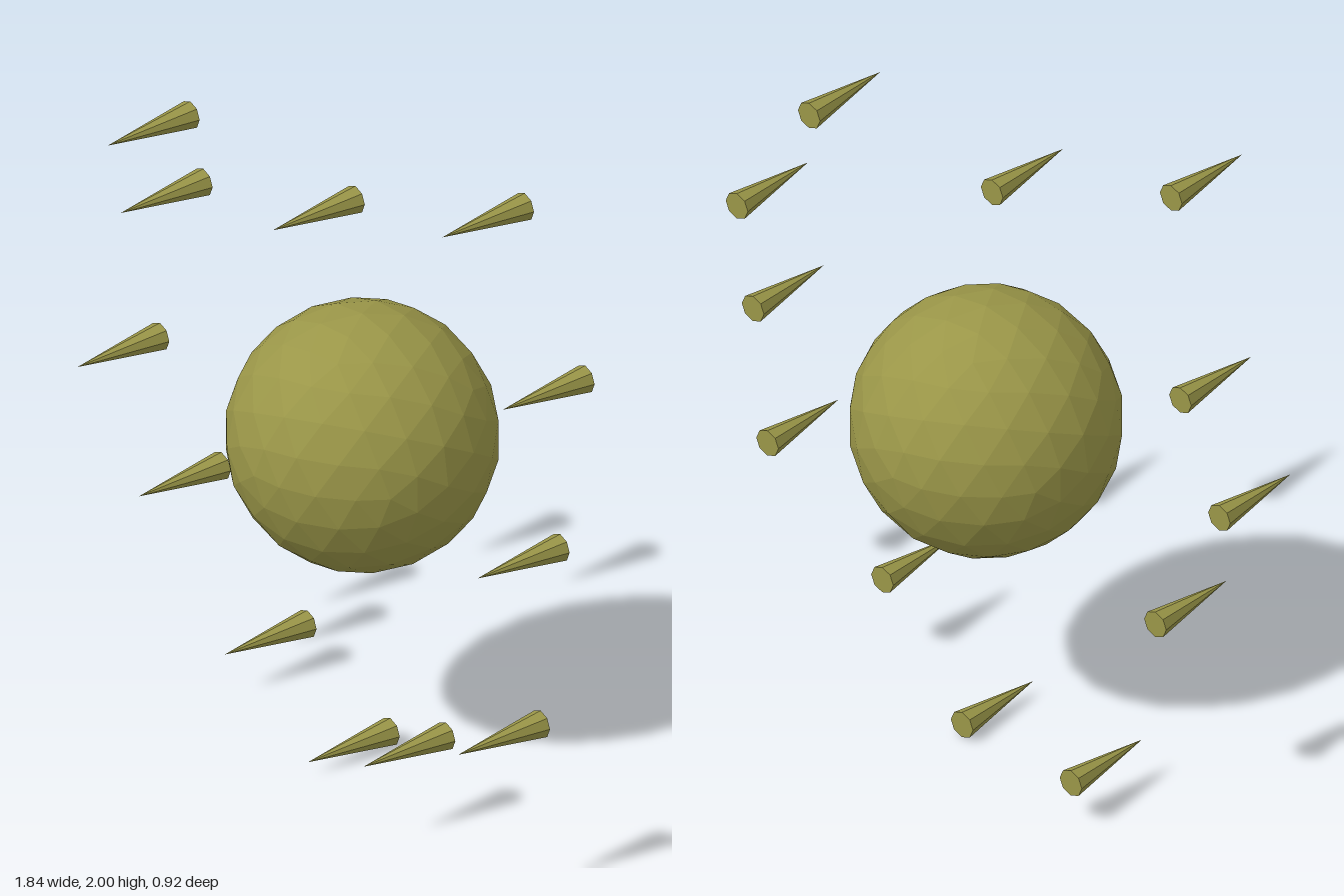
import * as THREE from 'three';

export function createModel() {
  const model = new THREE.Group();
  const olive = new THREE.MeshStandardMaterial({ color: 0x9a9648, flatShading: true });

  // Faceted central ball, with one icosahedron corner facing the front
  const ballGeometry = new THREE.IcosahedronGeometry(0.398, 3);
  ballGeometry.rotateX(Math.atan(2 / (1 + Math.sqrt(5)))).rotateZ(Math.PI / 2);
  const ball = new THREE.Mesh(ballGeometry, olive);
  ball.name = 'centralBall';
  ball.position.set(-0.045, 1.05, -0.065);
  model.add(ball);

  // Ring of loose spikes pointing forward: x, y and z of each flat base
  const spikes = new THREE.Group();
  spikes.name = 'spikeRing';
  const length = 0.303;
  const spikeGeometry = new THREE.ConeGeometry(0.043, length, 8);
  spikeGeometry.rotateX(Math.PI / 2).translate(0, 0, length / 2);
  const bases = [
    [-0.045, 1.83, -0.04], [0.48, 1.96, -0.245], [0.763, 1.517, -0.243],
    [0.84, 1.05, -0.09], [0.873, 0.52, 0.008], [0.402, 0.273, -0.018],
    [-0.045, 0.048, -0.168], [-0.571, 0.14, -0.28], [-0.72, 0.66, -0.083],
    [-0.877, 1.05, 0.018], [-0.853, 1.517, -0.122], [-0.566, 1.951, 0.153],
  ];
  bases.forEach(([x, y, z], i) => {
    const spike = new THREE.Mesh(spikeGeometry, olive);
    spike.name = `spike${i + 1}`;
    spike.position.set(x, y, z);
    spikes.add(spike);
  });
  model.add(spikes);

  return model;
}
